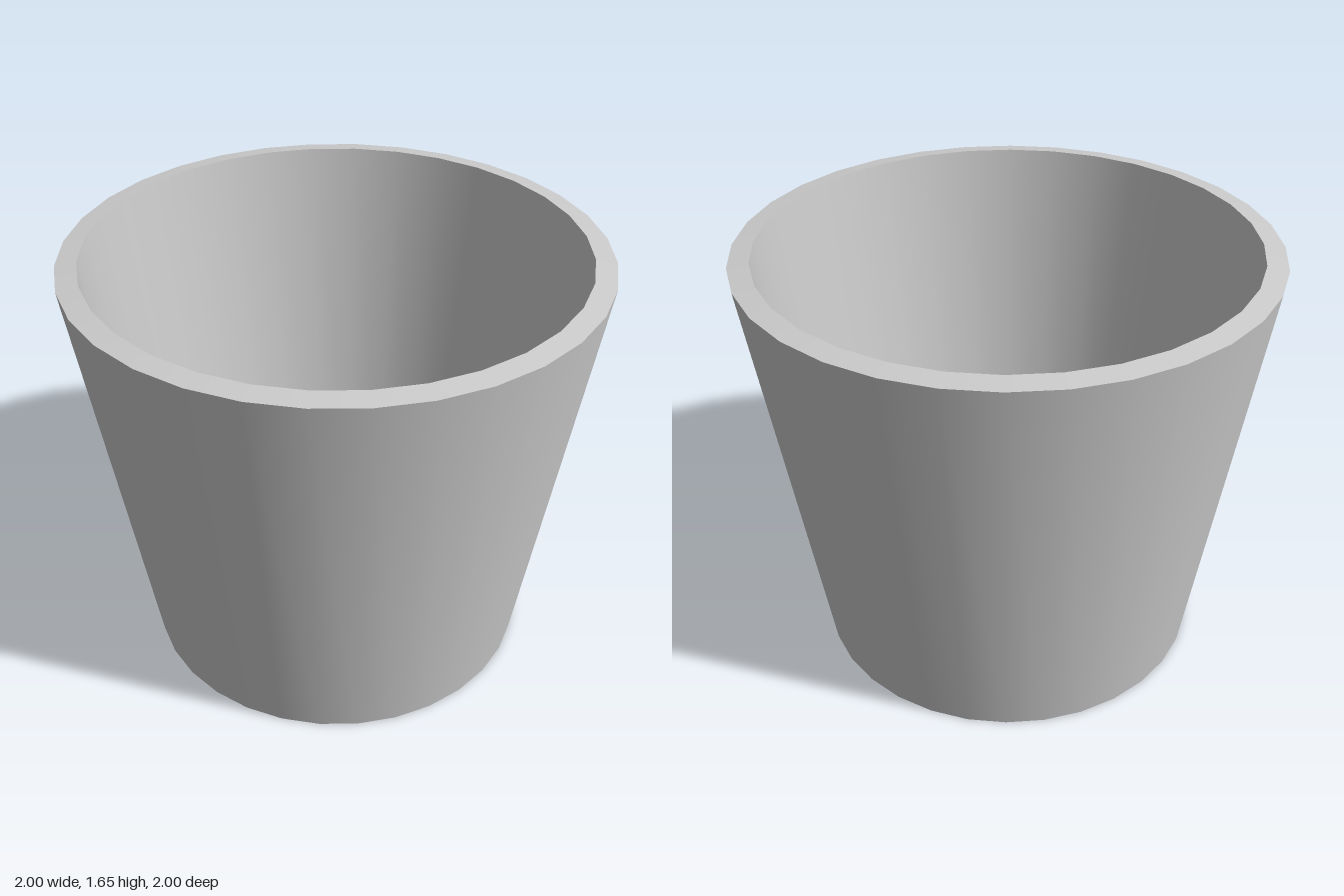
import * as THREE from 'three';

const SIDES = 32;

export function createModel() {
  const pot = new THREE.Group();
  pot.name = 'pot';
  const material = new THREE.MeshStandardMaterial({ color: 0xcccccc });

  // Corners of the half section as [radius, height], from the underside centre to the floor centre
  const section = [[0, 0], [0.76, 0], [1, 1.643], [0.921, 1.655], [0.703, 0.06], [0, 0.06]];
  const names = ['base', 'outerWall', 'rim', 'innerWall', 'innerFloor'];

  // Each stretch is its own lathe: smooth around, sharp where stretches meet
  names.forEach((name, i) => {
    const points = [section[i], section[i + 1]].map(([r, y]) => new THREE.Vector2(r, y));
    const mesh = new THREE.Mesh(new THREE.LatheGeometry(points, SIDES), material);
    mesh.name = name;
    pot.add(mesh);
  });

  return pot;
}
